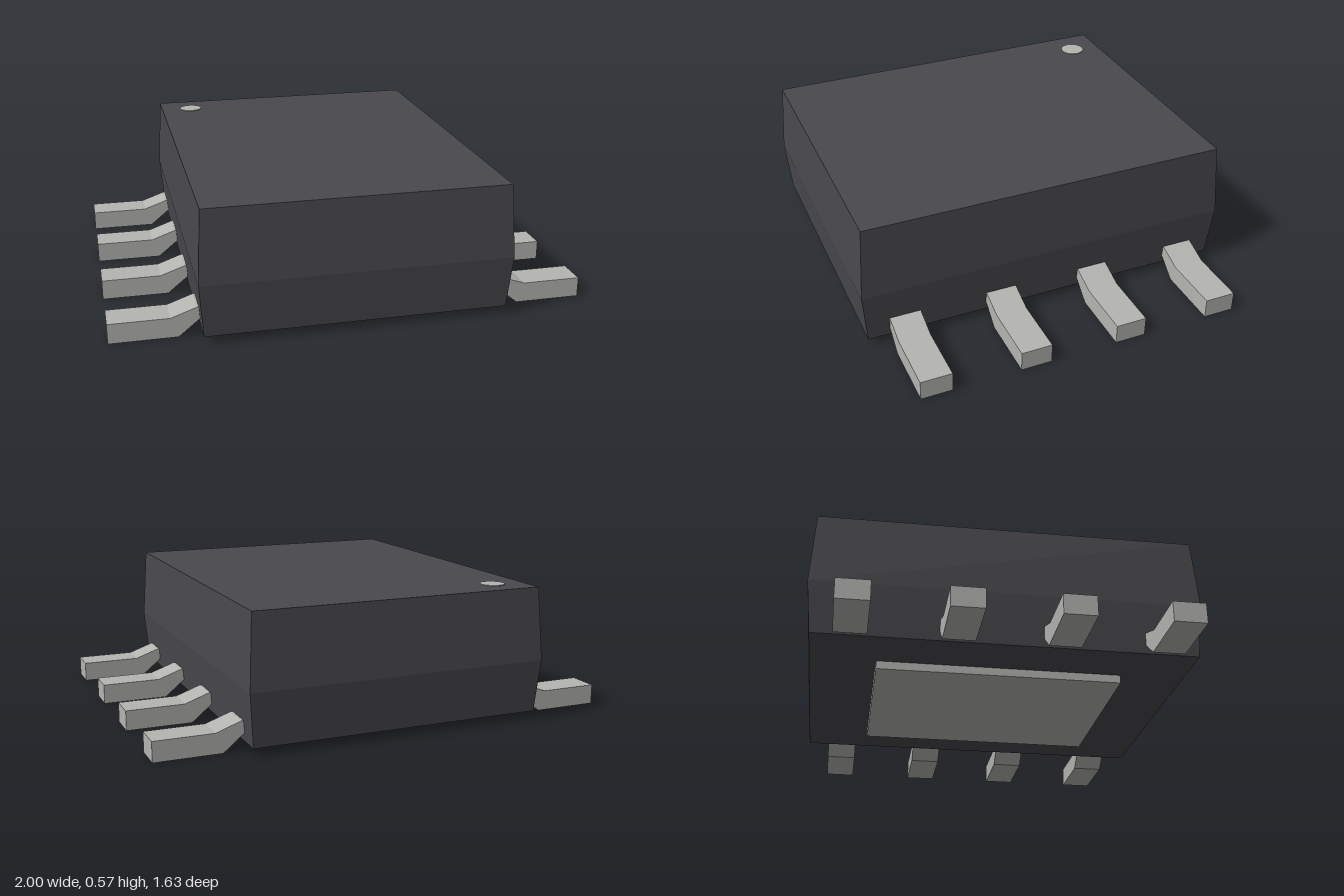
import * as THREE from 'three';

export function createModel() {
  const model = new THREE.Group();
  model.name = 'surfaceMountChip';

  const plastic = new THREE.MeshStandardMaterial({ color: 0x49484d });
  plastic.name = 'dark plastic';
  plastic.flatShading = true;
  const metal = new THREE.MeshStandardMaterial({ color: 0xb4b4b1 });
  metal.name = 'tinned metal';
  metal.flatShading = true;

  const add = (name, geometry, material, x = 0, y = 0, z = 0, parent = model) => {
    const mesh = new THREE.Mesh(geometry, material);
    mesh.name = name;
    mesh.position.set(x, y, z);
    parent.add(mesh);
    return mesh;
  };

  // Moulded body: a box that swells to its parting line
  const levels = { '-1': 0.035, 0: 0.26, 1: 0.57 };
  const bodyGeometry = new THREE.BoxGeometry(2, 2, 2, 1, 2, 1);
  const p = bodyGeometry.attributes.position;
  for (let i = 0; i < p.count; i++) {
    const level = Math.round(p.getY(i));
    const atSeam = level === 0;
    p.setXYZ(i, p.getX(i) * (atSeam ? 0.647 : 0.63), levels[level], p.getZ(i) * (atSeam ? 0.815 : 0.795));
  }
  bodyGeometry.computeVertexNormals();
  add('body', bodyGeometry, plastic);

  // Pin-one marker on the top face
  add('pinOneMarker', new THREE.CylinderGeometry(0.052, 0.052, 0.006, 32), metal, -0.49, 0.57, -0.66);

  // Exposed pad under the body
  add('thermalPad', new THREE.BoxGeometry(0.8, 0.04, 1.04), metal, 0, 0.02, 0);

  // Bent leads: one side profile, extruded and turned round for the other side
  const profile = new THREE.Shape([
    [0.61, 0.09], [0.72, 0], [1, 0], [1, 0.085], [0.75, 0.085], [0.645, 0.122], [0.61, 0.122],
  ].map(([x, y]) => new THREE.Vector2(x, y)));
  const width = 0.133;
  const leadGeometry = new THREE.ExtrudeGeometry(profile, { depth: width, bevelEnabled: false });
  leadGeometry.translate(0, 0, -width / 2);

  for (const side of ['left', 'right']) {
    const row = new THREE.Group();
    row.name = `${side}Leads`;
    row.rotation.y = side === 'left' ? 0 : Math.PI;
    model.add(row);
    for (let i = 0; i < 4; i++) {
      add(`${side}Lead${i + 1}`, leadGeometry, metal, 0, 0, (i - 1.5) * 0.424, row);
    }
  }

  return model;
}
